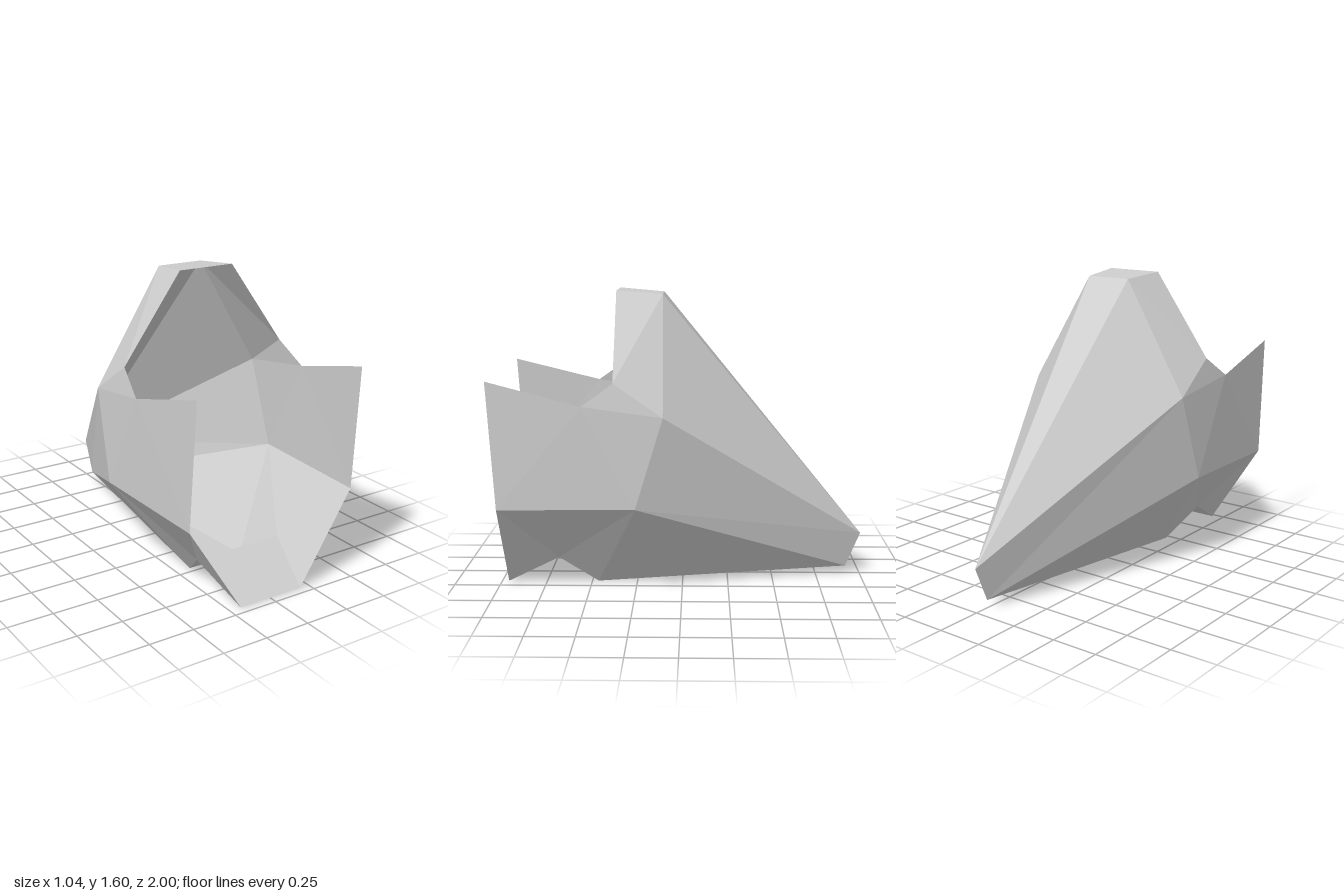
import * as THREE from 'three';

// Corner points of the +x half; the other half is mirrored.
const P = {
  crownBack: [0.13, 1.58, 0.105],
  crownFront: [0.16, 1.6, 0.35],
  brow: [0.487, 1.15, 0.35],
  notch: [0.517, 1.035, 0.51],
  tip: [0.493, 1.16, 1.0],
  cheek: [0.5, 0.49, 0.96],
  temple: [0.5, 0.975, 0.095],
  widest: [0.522, 0.5, 0.24],
  lipFront: [0.19, 0.005, 0.96],
  lipBack: [0.26, 0.165, 0.67],
  keelFront: [0.165, 0, 0.465],
  tailTop: [0, 0.235, -1],
  tailLow: [0, 0.042, -0.92],
};

// Corner of the model; a leading '-' takes the mirrored point.
const corner = (name) => {
  const mirrored = name[0] === '-';
  const [x, y, z] = P[mirrored ? name.slice(1) : name];
  return [mirrored ? -x : x, y, z];
};

// Flat-faced surface from convex faces, each fanned into triangles.
function facets(faces, mirror = false) {
  const pos = [];
  for (const face of faces) {
    const pts = face.split(' ').map(corner);
    if (mirror) {
      pts.forEach((p) => { p[0] *= -1; });
      pts.reverse();
    }
    for (let i = 1; i < pts.length - 1; i++) pos.push(...pts[0], ...pts[i], ...pts[i + 1]);
  }
  const geo = new THREE.BufferGeometry();
  geo.setAttribute('position', new THREE.Float32BufferAttribute(pos, 3));
  geo.computeVertexNormals();
  return geo;
}

// Panels that exist on both sides
const SIDE_PARTS = {
  upperSide: ['temple crownBack brow', 'brow crownBack crownFront'],
  sideWing: ['temple brow notch', 'temple notch widest', 'widest notch cheek', 'cheek notch tip'],
  lowerSide: ['widest cheek lipBack', 'cheek lipFront lipBack', 'widest lipBack keelFront'],
  rearSide: ['temple tailTop crownBack', 'widest tailLow tailTop temple'],
  underside: ['widest keelFront tailLow'],
};

// Panels that cross the middle
const CENTRE_PARTS = {
  crown: ['-crownFront crownFront crownBack -crownBack'],
  spine: ['crownBack tailTop -crownBack'],
  keel: ['keelFront -keelFront tailLow'],
  floorRamp: ['-keelFront keelFront lipBack -lipBack'],
  frontLip: ['-lipBack lipBack lipFront -lipFront'],
};

export function createModel() {
  const model = new THREE.Group();
  model.name = 'facetedShell';
  const grey = new THREE.MeshStandardMaterial({ color: 0xcccccc, side: THREE.DoubleSide });
  grey.name = 'light grey';
  grey.flatShading = true;

  const add = (name, geometry) => {
    const mesh = new THREE.Mesh(geometry, grey);
    mesh.name = name;
    model.add(mesh);
  };

  for (const [name, faces] of Object.entries(SIDE_PARTS)) {
    add(name + 'Left', facets(faces));
    add(name + 'Right', facets(faces, true));
  }
  for (const [name, faces] of Object.entries(CENTRE_PARTS)) add(name, facets(faces));
  return model;
}
